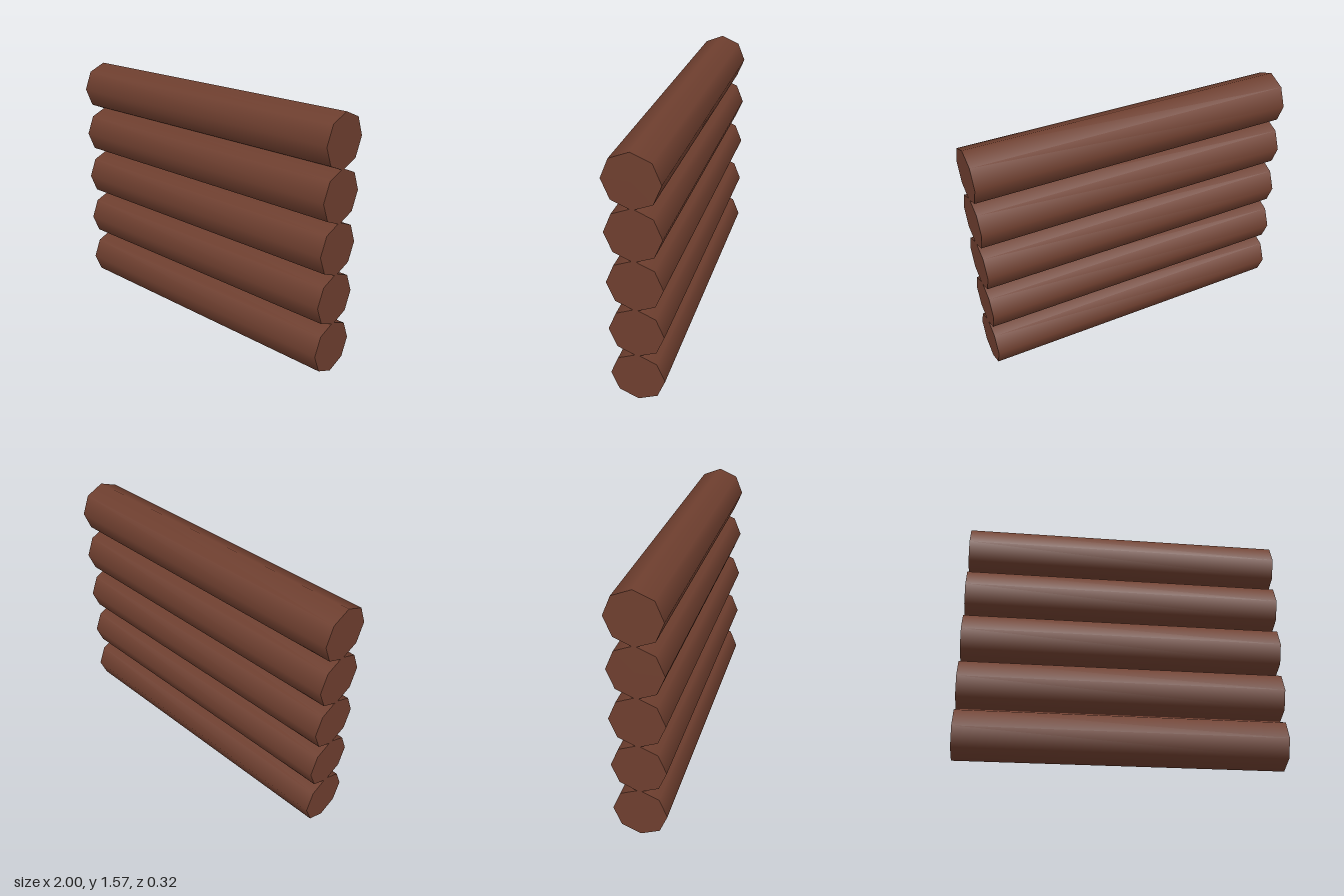
import * as THREE from 'three';

const LOGS = 5, RADIUS = 0.161, SPACING = 0.311, LENGTH = 2;

export function createModel() {
  const group = new THREE.Group();
  group.name = 'logWall';
  const bark = new THREE.MeshStandardMaterial({ color: 0x6f3f2f });
  bark.name = 'brownWood';

  // Eight-sided log lying along x, smooth sides and flat ends
  const logGeometry = new THREE.CylinderGeometry(RADIUS, RADIUS, LENGTH, 8);
  logGeometry.rotateZ(Math.PI / 2);

  // Logs stacked from the ground up
  for (let i = 0; i < LOGS; i++) {
    const log = new THREE.Mesh(logGeometry, bark);
    log.name = `log${i + 1}`;
    log.position.y = RADIUS + i * SPACING;
    group.add(log);
  }
  return group;
}
